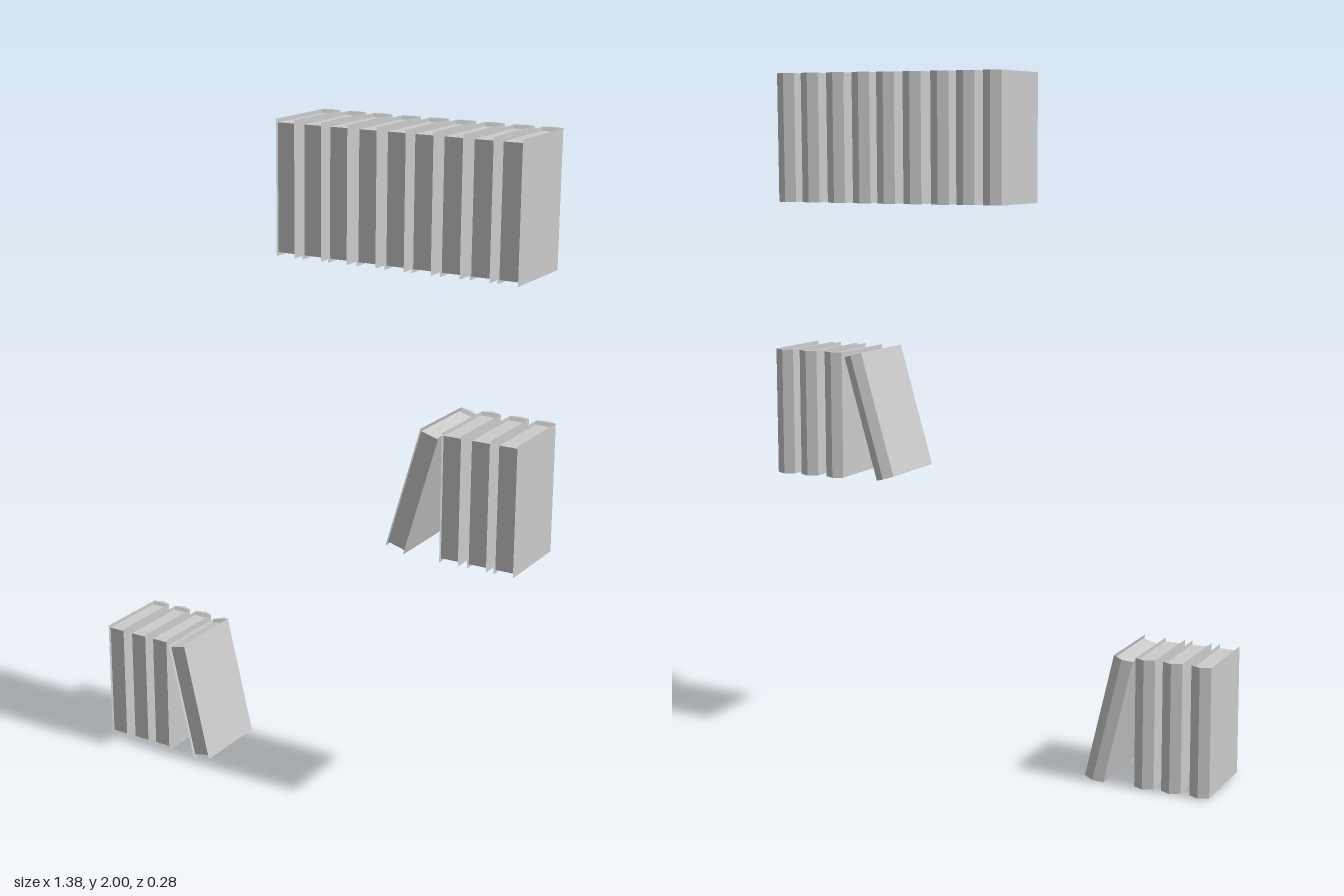
import * as THREE from 'three';

const W = 0.058, H = 0.374;                       // book thickness and height
const PAGE_H = H / 2 - 0.01;                      // half height of the page block
const PAGES = -0.009, SLOPE = -0.233, SHOULDER = -0.24, PEAK = -0.254; // depths behind the cover edge

const material = new THREE.MeshStandardMaterial({ color: 0xcccccc, flatShading: true });
const sheetMaterial = new THREE.MeshStandardMaterial({ color: 0xcccccc, flatShading: true, side: THREE.DoubleSide });

function extrude(points, depth) {
  const shape = new THREE.Shape(points.map(([x, y]) => new THREE.Vector2(x, y)));
  return new THREE.ExtrudeGeometry(shape, { depth, bevelEnabled: false }).translate(0, 0, -depth / 2);
}

// Page block, flaring up to the full height where it meets the spine
const pagesGeometry = extrude([
  [PAGES, -PAGE_H], [PAGES, PAGE_H], [SLOPE, PAGE_H],
  [SHOULDER, H / 2], [SHOULDER, -H / 2], [SLOPE, -PAGE_H],
], W - 0.001).rotateY(-Math.PI / 2);

// Ridged spine
const spineGeometry = extrude([
  [-W / 2, -SHOULDER], [W / 2, -SHOULDER], [0, -PEAK],
], H).rotateX(-Math.PI / 2);

// Thin cover board, standing a little proud of the pages
const coverGeometry = new THREE.PlaneGeometry(-SHOULDER, H)
  .rotateY(Math.PI / 2).translate(0, 0, SHOULDER / 2);

function createBook() {
  const book = new THREE.Group();
  book.name = 'book';
  const add = (name, geometry, mat, x = 0) => {
    const mesh = new THREE.Mesh(geometry, mat);
    mesh.name = name;
    mesh.position.x = x;
    book.add(mesh);
  };
  add('pages', pagesGeometry, material);
  add('spine', spineGeometry, material);
  add('leftCover', coverGeometry, sheetMaterial, W / 2);
  add('rightCover', coverGeometry, sheetMaterial, -W / 2);
  return book;
}

// Rows of upright books, some with one leaning book: [x, y, tilt]
const rows = [
  { name: 'topRow', y: 1.813, z: 0.143, xs: [-0.016, 0.068, 0.149, 0.238, 0.324, 0.405, 0.49, 0.576, 0.657] },
  { name: 'middleRow', y: 1.005, z: 0.112, xs: [0.49, 0.576, 0.657], leaning: [0.371, 1.006, -0.283] },
  { name: 'bottomRow', y: 0.191, z: 0.132, xs: [-0.66, -0.576, -0.495], leaning: [-0.386, 0.19, 0.232] },
];

export function createModel() {
  const model = new THREE.Group();
  model.name = 'books';
  for (const { name, y, z, xs, leaning } of rows) {
    const row = new THREE.Group();
    row.name = name;
    for (const x of xs) {
      const book = createBook();
      book.position.set(x, y, z);
      row.add(book);
    }
    if (leaning) {
      const book = createBook();
      book.name = 'leaningBook';
      book.position.set(leaning[0], leaning[1], z);
      book.rotation.z = leaning[2];
      row.add(book);
    }
    model.add(row);
  }
  return model;
}
